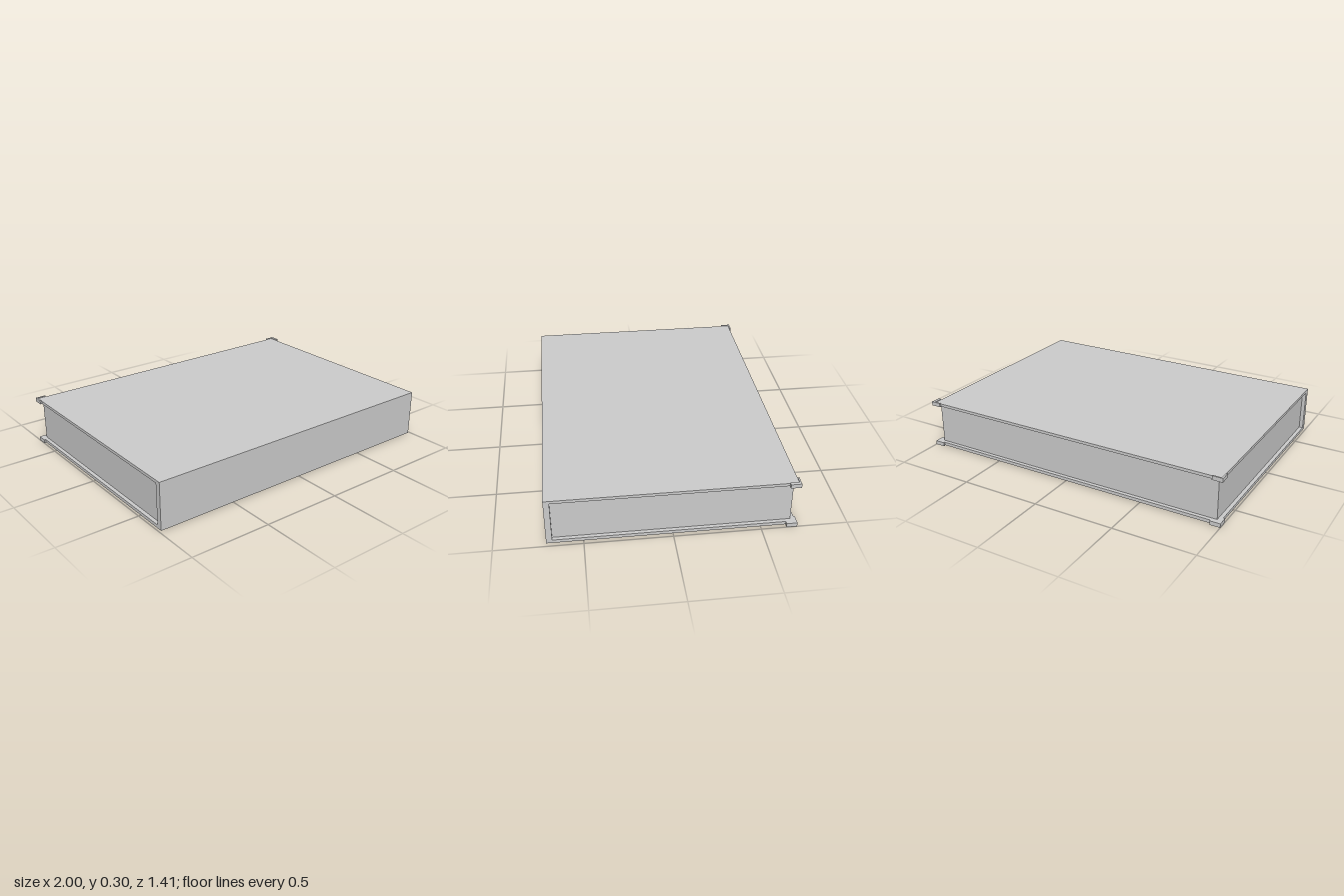
import * as THREE from 'three';

const material = new THREE.MeshStandardMaterial({ color: 0xcccccc, flatShading: true });

// Box given by its lower and upper corners
function block(name, [x0, y0, z0], [x1, y1, z1]) {
  const mesh = new THREE.Mesh(new THREE.BoxGeometry(x1 - x0, y1 - y0, z1 - z0), material);
  mesh.name = name;
  mesh.position.set((x0 + x1) / 2, (y0 + y1) / 2, (z0 + z1) / 2);
  return mesh;
}

// L-shaped guard around a cover corner; xIn is the cover edge, y the underside
function cornerGuard(name, side, xIn, y) {
  const outer = side, edge = xIn, tip = side * 0.937;
  const zOut = 0.707, zEdge = 0.698, zTip = 0.645;
  const shape = new THREE.Shape([
    [outer, zOut], [tip, zOut], [tip, zEdge], [edge, zEdge], [edge, zTip], [outer, zTip],
  ].map(([x, z]) => new THREE.Vector2(x, z)));
  const geometry = new THREE.ExtrudeGeometry(shape, { depth: 0.025, bevelEnabled: false });
  geometry.rotateX(-Math.PI / 2);
  const mesh = new THREE.Mesh(geometry, material);
  mesh.name = name;
  mesh.position.y = y;
  return mesh;
}

export function createModel() {
  const book = new THREE.Group();
  book.name = 'book';
  const left = 0.98, right = -0.99, back = -0.698, front = 0.707;

  // Hard cover: two boards joined by the spine
  book.add(
    block('bottomCover', [right, 0.005, back], [left, 0.025, front]),
    block('topCover', [right, 0.277, back], [left, 0.295, front]),
    block('spine', [right, 0.025, 0.673], [left, 0.277, front]),
  );

  // Page block, set back from the cover edges
  book.add(block('pages', [right + 0.023, 0.025, -0.675], [left - 0.023, 0.277, 0.673]));

  // Corner guards on the opening edge
  for (const [level, y] of [['bottom', 0], ['top', 0.275]]) {
    book.add(cornerGuard(level + 'LeftCornerGuard', 1, left, y));
    book.add(cornerGuard(level + 'RightCornerGuard', -1, right, y));
  }
  return book;
}
